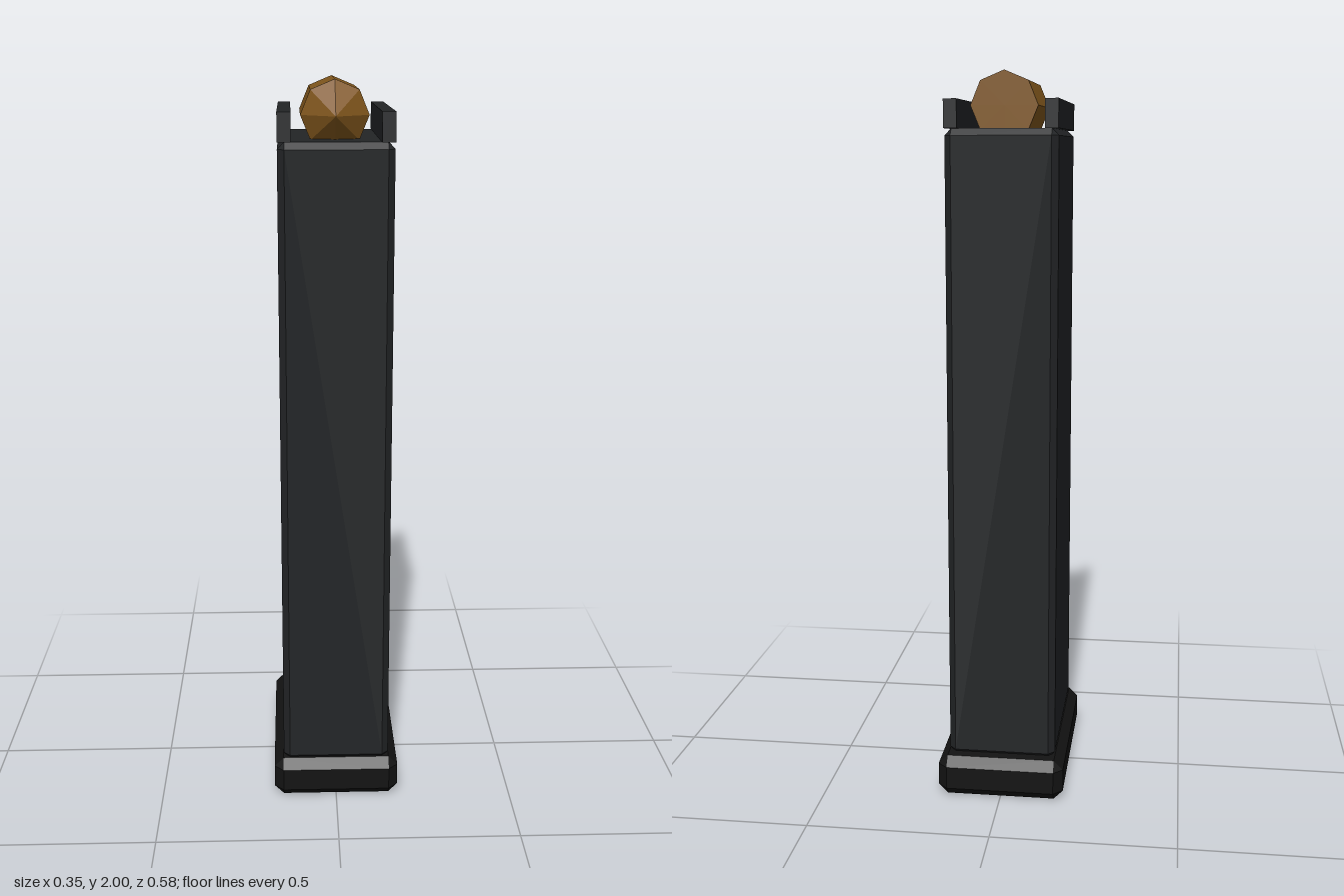
import * as THREE from 'three';
import { ConvexGeometry } from 'three/addons/geometries/ConvexGeometry.js';

const material = (color) => new THREE.MeshStandardMaterial({ color, flatShading: true });

// Box with every edge cut by a flat chamfer c
function chamferBox(w, h, d, c) {
  const x = w / 2, y = h / 2, z = d / 2;
  const points = [];
  for (const sx of [-1, 1]) for (const sy of [-1, 1]) for (const sz of [-1, 1]) {
    points.push(
      new THREE.Vector3(sx * x, sy * (y - c), sz * (z - c)),
      new THREE.Vector3(sx * (x - c), sy * y, sz * (z - c)),
      new THREE.Vector3(sx * (x - c), sy * (y - c), sz * z)
    );
  }
  return new ConvexGeometry(points);
}

export function createModel() {
  const group = new THREE.Group();
  const casing = material(0x222426);
  const rubber = material(0x131313);
  const brass = material(0x80561c);

  const add = (name, geometry, mat, x, y, z) => {
    const mesh = new THREE.Mesh(geometry, mat);
    mesh.name = name;
    mesh.position.set(x, y, z);
    group.add(mesh);
    return mesh;
  };

  // Base plate and tall body
  add('basePlate', chamferBox(0.354, 0.115, 0.58, 0.026), rubber, 0, 0.0575, 0);
  add('body', chamferBox(0.3, 1.745, 0.505, 0.018), casing, 0, 0.9775, 0.0125);

  // Feed lips along both sides of the top
  for (const [side, name] of [[1, 'leftLip'], [-1, 'rightLip']]) {
    add(name, new THREE.BoxGeometry(0.035, 0.075, 0.505), casing, side * 0.1325, 1.8875, 0.0125);
  }

  // Eight-sided cartridge lying between the lips, pointing forward
  const r = 0.09;
  const caseGeo = new THREE.CylinderGeometry(r, r, 0.303, 8).rotateX(Math.PI / 2);
  add('cartridgeCase', caseGeo, brass, 0, 1.91, -0.0135);
  const tipGeo = new THREE.ConeGeometry(r, 0.075, 8).rotateX(Math.PI / 2);
  add('cartridgeTip', tipGeo, brass, 0, 1.91, 0.1755);

  return group;
}
